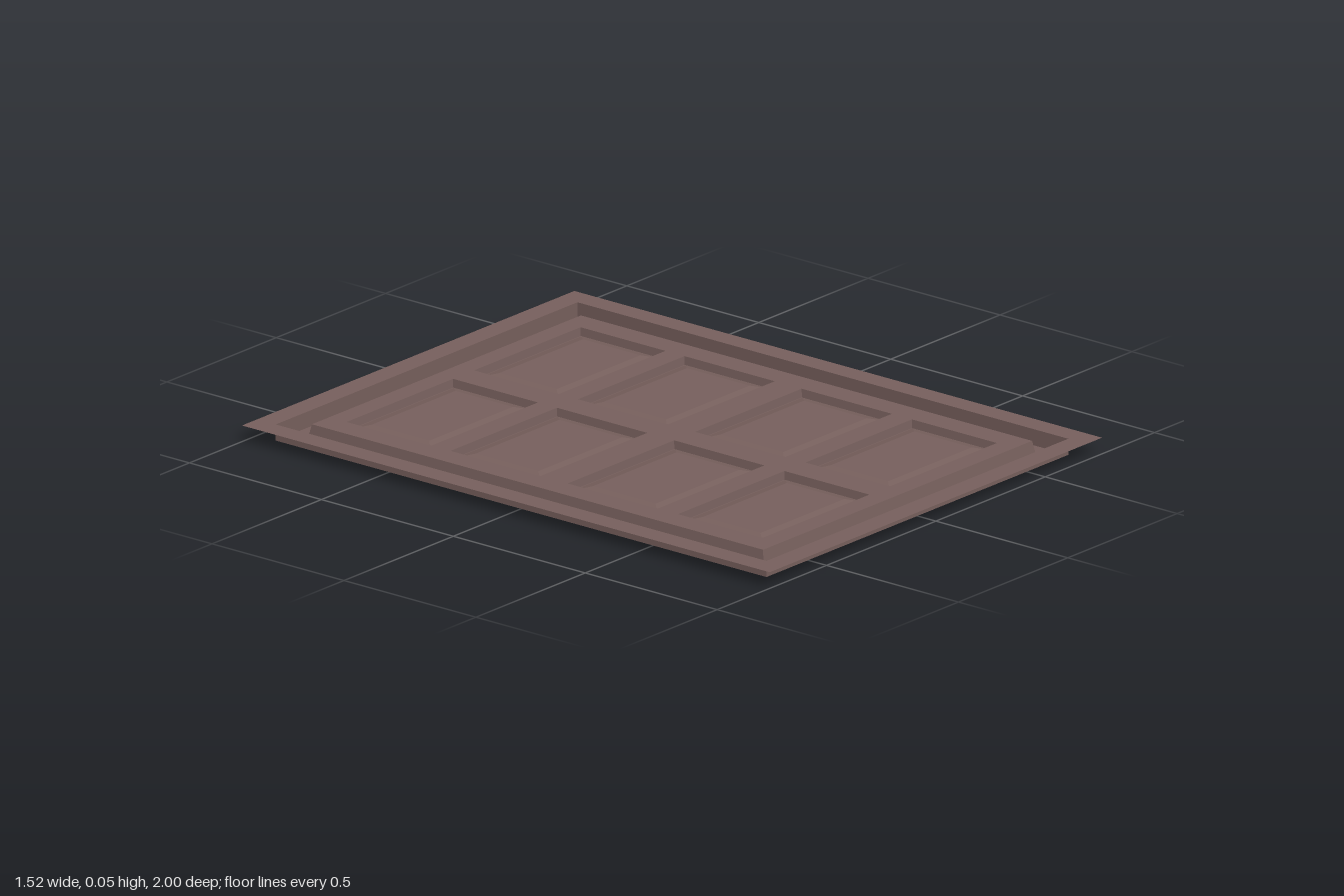
import * as THREE from 'three';

// Sheet swept through nested rectangles; each ring is [x0, x1, z0, z1, y], outermost first.
function ringSheet(rings, cap) {
  const pos = [];
  const corners = ([x0, x1, z0, z1, y]) => [[x0, y, z0], [x0, y, z1], [x1, y, z1], [x1, y, z0]];
  const quad = (a, b, c, d) => pos.push(...a, ...b, ...c, ...a, ...c, ...d);
  for (let i = 0; i < rings.length - 1; i++) {
    const o = corners(rings[i]), n = corners(rings[i + 1]);
    for (let k = 0; k < 4; k++) {
      const j = (k + 1) % 4;
      quad(o[k], o[j], n[j], n[k]);
    }
  }
  if (cap) quad(...corners(rings[rings.length - 1]));
  const g = new THREE.BufferGeometry();
  g.setAttribute('position', new THREE.Float32BufferAttribute(pos, 3));
  g.computeVertexNormals();
  return g;
}

function rectPath(path, x0, x1, z0, z1) {
  // shape y becomes -z once the sheet is laid flat
  path.moveTo(x0, -z0);
  path.lineTo(x1, -z0);
  path.lineTo(x1, -z1);
  path.lineTo(x0, -z1);
  path.closePath();
  return path;
}

export function createModel() {
  const group = new THREE.Group();
  const wood = new THREE.MeshStandardMaterial({ color: 0x765f5c, side: THREE.DoubleSide });
  wood.name = 'brown wood';

  const add = (name, geometry) => {
    const mesh = new THREE.Mesh(geometry, wood);
    mesh.name = name;
    group.add(mesh);
  };
  const top = 0.05;
  const centred = (x, z, y) => [-x, x, -z, z, y];

  // Flat outer border
  add('outerBorder', ringSheet([centred(0.76, 1, top), centred(0.69, 0.93, top)]));

  // Deep channel between border and field
  add('frameChannel', ringSheet([
    centred(0.69, 0.93, top),
    centred(0.69, 0.93, 0),
    centred(0.63, 0.87, 0),
    centred(0.622, 0.862, 0.01),
    centred(0.615, 0.855, top - 0.003),
  ]));

  // Field with eight openings
  const field = rectPath(new THREE.Shape(), -0.615, 0.615, -0.855, 0.855);
  const columns = [[-0.535, -0.048], [0.048, 0.535]];
  const rows = [[-0.79, -0.468], [-0.396, -0.054], [0.048, 0.39], [0.466, 0.788]];
  const fieldY = top - 0.003;

  // Raised panels set into the openings
  for (const [x0, x1] of columns) {
    for (const [z0, z1] of rows) {
      field.holes.push(rectPath(new THREE.Path(), x0, x1, z0, z1));
      const inset = (d, y) => [x0 + d, x1 - d, z0 + d, z1 - d, y];
      add('raisedPanel', ringSheet([
        inset(0, fieldY),
        inset(0.004, 0.022),
        inset(0.012, 0.022),
        inset(0.014, 0.026),
        inset(0.052, 0.036),
      ], true));
    }
  }
  add('field', new THREE.ShapeGeometry(field).rotateX(-Math.PI / 2).translate(0, fieldY, 0));

  return group;
}
